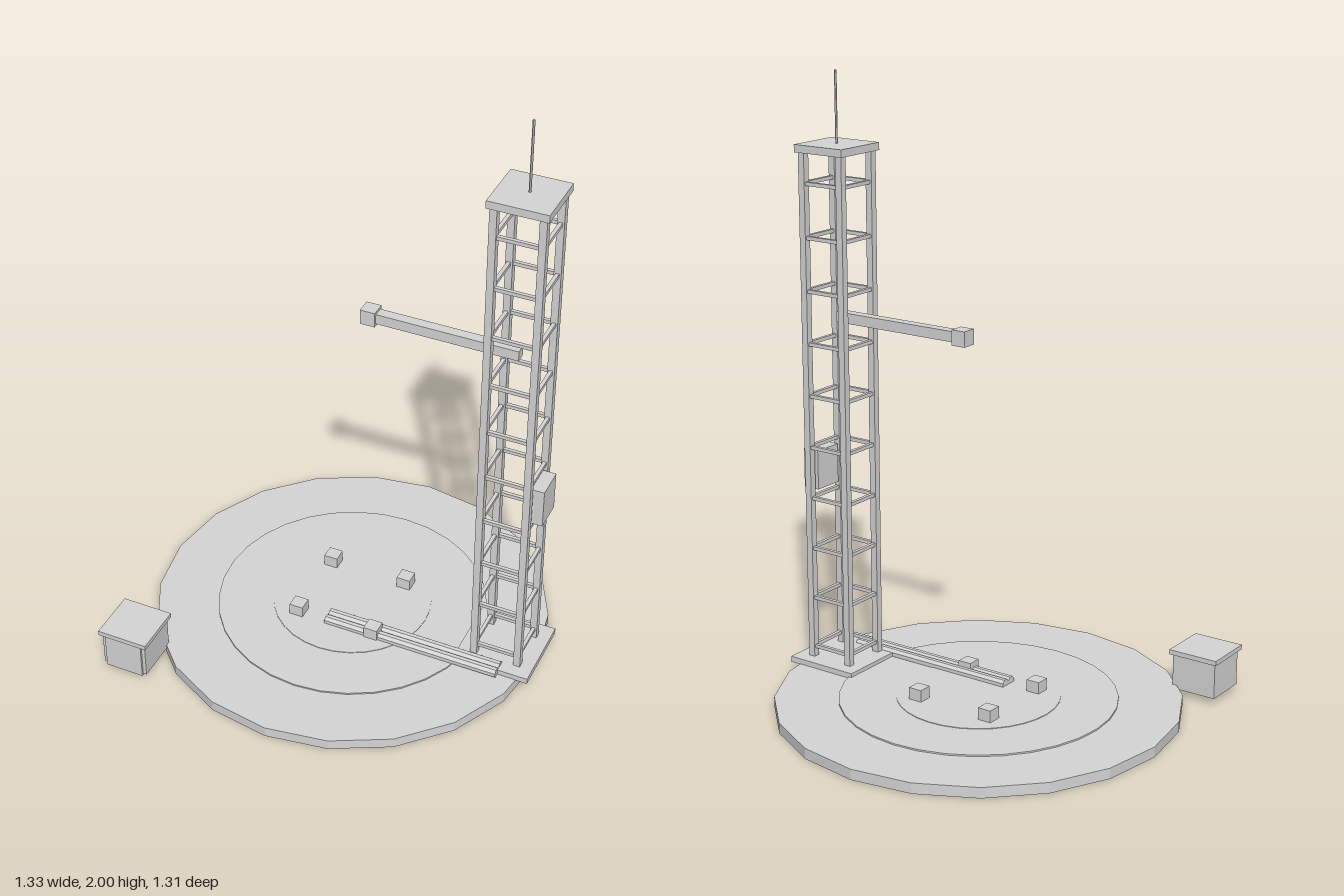
import * as THREE from 'three';

export function createModel() {
  const model = new THREE.Group();
  const grey = new THREE.MeshStandardMaterial({
    color: 0xd6d6d6, flatShading: true, side: THREE.DoubleSide,
  });
  grey.name = 'pale grey';

  const add = (parent, name, geometry, x, y, z) => {
    const mesh = new THREE.Mesh(geometry, grey);
    mesh.name = name;
    mesh.position.set(x, y, z);
    parent.add(mesh);
    return mesh;
  };
  const box = (parent, name, w, h, d, x, y, z) =>
    add(parent, name, new THREE.BoxGeometry(w, h, d), x, y, z);
  const group = (name, x, z) => {
    const g = new THREE.Group();
    g.name = name;
    g.position.set(x, 0, z);
    model.add(g);
    return g;
  };

  // Round pad: a shell open underneath, with two thin raised tiers and four anchor blocks
  const pad = group('launchPad', -0.01, 0);
  const profile = [[0.657, 0], [0.657, 0.035], [0, 0.035]].map(([r, y]) => new THREE.Vector2(r, y));
  add(pad, 'padShell', new THREE.LatheGeometry(profile, 20), 0, 0, 0);
  const tier = (name, r, y0, y1) =>
    add(pad, name, new THREE.CylinderGeometry(r, r, y1 - y0, 32), 0, (y0 + y1) / 2, 0);
  tier('outerTier', 0.45, 0.035, 0.04);
  tier('innerTier', 0.265, 0.035, 0.042);
  for (const sx of [-1, 1]) {
    for (const sz of [-1, 1]) {
      box(pad, 'anchorBlock', 0.047, 0.047, 0.047, sx * 0.135, 0.058, sz * 0.135 - 0.002);
    }
  }

  // Lattice tower
  const tower = group('tower', 0.537, 0);
  const half = 0.075;
  box(tower, 'towerBase', 0.257, 0.02, 0.26, 0, 0.043, -0.001);
  for (const sx of [-1, 1]) {
    for (const sz of [-1, 1]) {
      box(tower, 'towerLeg', 0.023, 1.7, 0.023, sx * half, 0.9, sz * half);
    }
  }
  for (let i = 0; i < 10; i++) {
    const y = 0.088 + i * 0.1732;
    for (const s of [-1, 1]) {
      box(tower, 'crossRung', half * 2, 0.012, 0.012, 0, y, s * half);
      box(tower, 'sideRung', 0.012, 0.012, half * 2, s * half, y, 0);
    }
  }
  box(tower, 'towerCap', 0.19, 0.025, 0.19, 0, 1.758, 0);
  add(tower, 'antenna', new THREE.CylinderGeometry(0.004, 0.004, 0.232, 6), 0, 1.884, 0);
  box(tower, 'equipmentCabinet', 0.058, 0.132, 0.103, 0.09, 0.697, 0);

  // Service arm with end block
  box(tower, 'serviceArm', 0.47, 0.034, 0.034, -0.235, 1.215, 0);
  box(tower, 'armHead', 0.049, 0.05, 0.05, -0.486, 1.215, 0);

  // Twin supply pipes lying on the pad
  for (const z of [0.104, 0.136]) {
    const pipe = add(model, 'supplyPipe',
      new THREE.CylinderGeometry(0.0172, 0.0172, 0.607, 8).rotateY(Math.PI / 8),
      0.26, 0.047, z);
    pipe.rotation.z = Math.PI / 2;
  }

  // Control hut beside the pad
  const hut = group('controlHut', -0.547, 0.518);
  box(hut, 'hutBody', 0.154, 0.122, 0.15, 0, 0.083, 0);
  box(hut, 'hutRoof', 0.172, 0.016, 0.172, 0, 0.15, 0);
  box(hut, 'hutDoor', 0.13, 0.126, 0.008, 0, 0.08, 0.078);

  return model;
}
